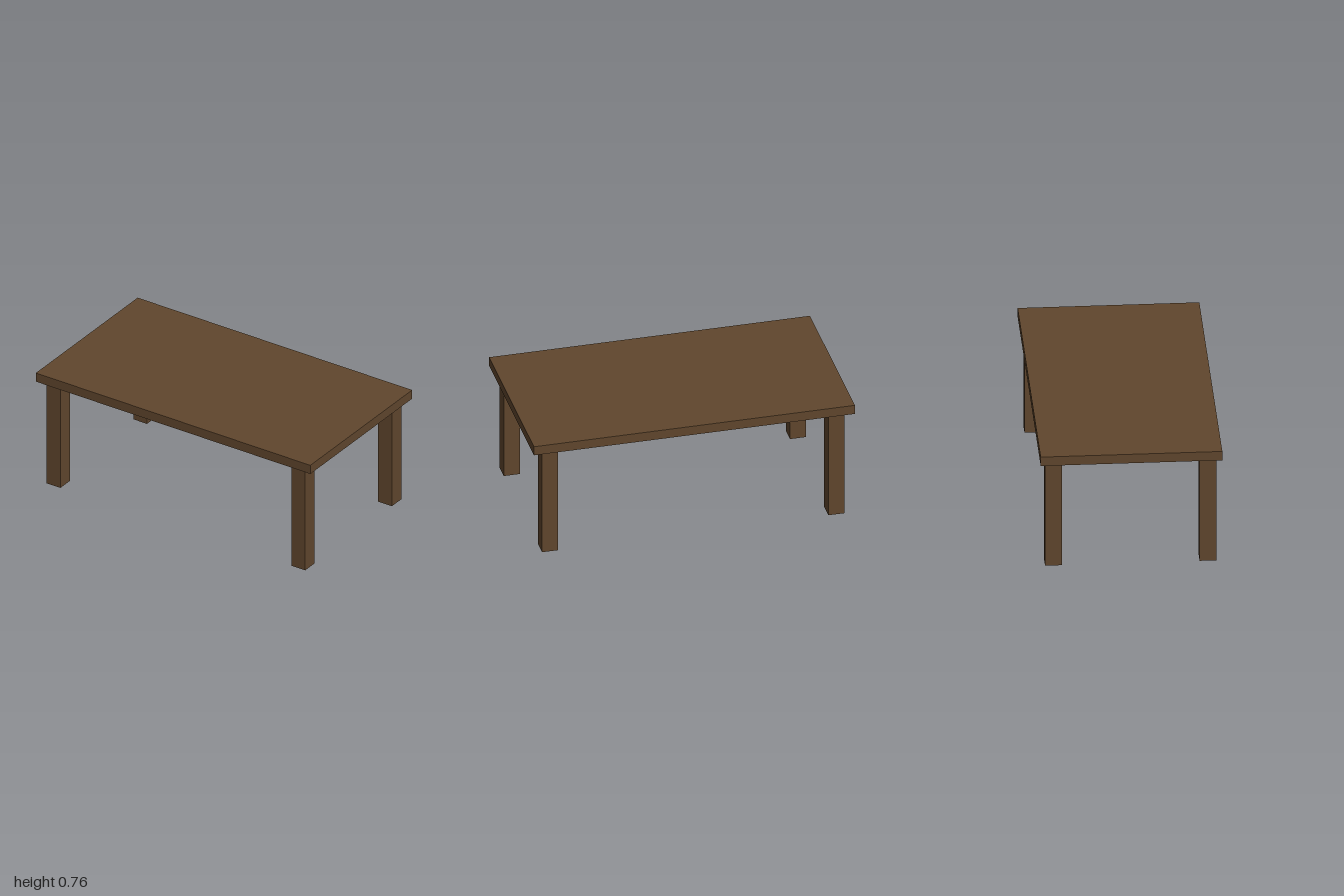
import * as THREE from 'three';

export function createModel() {
  const table = new THREE.Group();
  table.name = 'table';
  const wood = new THREE.MeshStandardMaterial({ color: 0x60462d });

  // Box placed by its bottom height
  const addBox = (name, [w, h, d], x, bottom, z) => {
    const mesh = new THREE.Mesh(new THREE.BoxGeometry(w, h, d), wood);
    mesh.name = name;
    mesh.position.set(x, bottom + h / 2, z);
    table.add(mesh);
  };

  const legHeight = 0.705;
  const apronHeight = 0.065;

  // Overhanging top slab
  addBox('tableTop', [2, 0.06, 1.1], 0, legHeight, 0);

  // Solid apron block between the legs
  addBox('apron', [1.69, apronHeight, 0.84], 0, legHeight - apronHeight, 0);

  // Four square legs
  for (const [side, sx] of [['Left', 1], ['Right', -1]]) {
    for (const [end, sz] of [['front', 1], ['back', -1]]) {
      addBox(`${end}${side}Leg`, [0.1, legHeight, 0.103], sx * 0.892, 0, sz * 0.468);
    }
  }

  return table;
}
